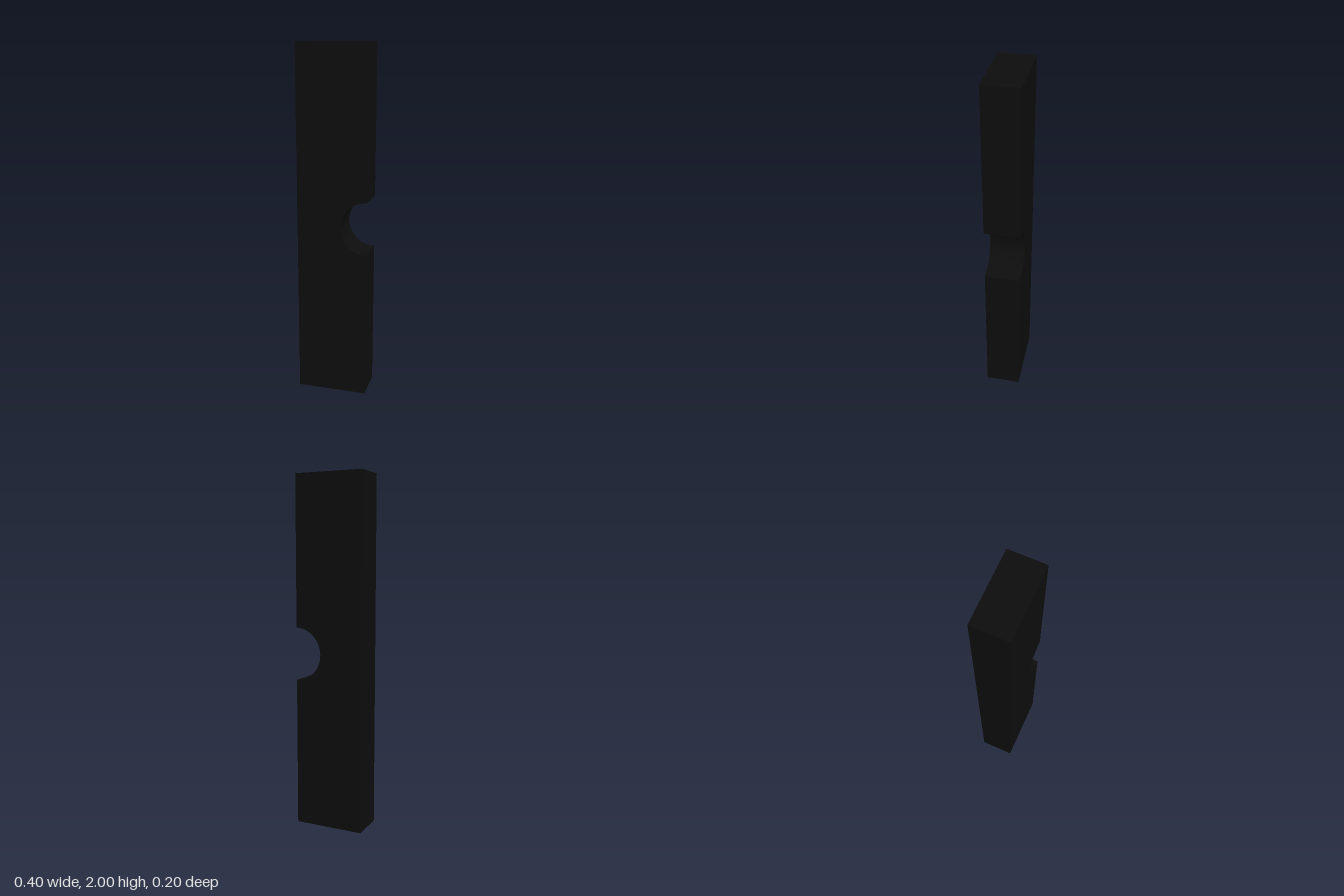
import * as THREE from 'three';
import { toCreasedNormals } from 'three/addons/utils/BufferGeometryUtils.js';

const WIDTH = 0.4, HEIGHT = 2, DEPTH = 0.2, NOTCH_RADIUS = 0.15;

export function createModel() {
  const group = new THREE.Group();
  group.name = 'notchedBar';

  // Upright bar outline with a half-round notch halfway up its left edge
  const half = WIDTH / 2;
  const outline = new THREE.Shape();
  outline.moveTo(-half, 0);
  outline.lineTo(half, 0);
  outline.lineTo(half, HEIGHT / 2 - NOTCH_RADIUS);
  outline.absarc(half, HEIGHT / 2, NOTCH_RADIUS, -Math.PI / 2, Math.PI / 2, true);
  outline.lineTo(half, HEIGHT);
  outline.lineTo(-half, HEIGHT);
  outline.closePath();

  const geometry = new THREE.ExtrudeGeometry(outline, {
    depth: DEPTH,
    bevelEnabled: false,
    curveSegments: 32,
  });
  geometry.translate(0, 0, -DEPTH / 2);

  // Smooth inside the notch, sharp at the edges
  const bar = new THREE.Mesh(
    toCreasedNormals(geometry, Math.PI / 6),
    new THREE.MeshStandardMaterial({ color: 0x0d0d0d })
  );
  bar.name = 'bar';
  group.add(bar);
  return group;
}
